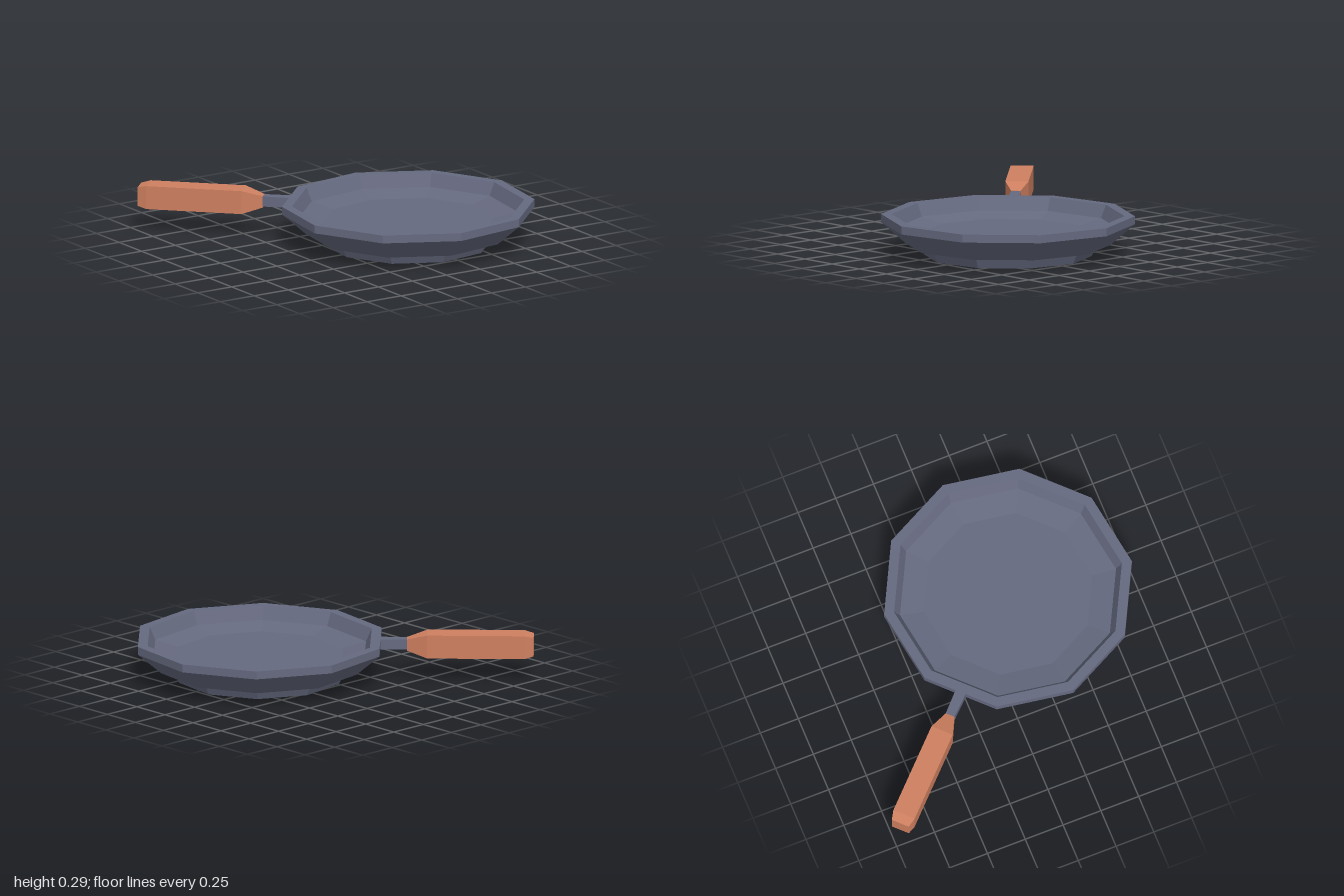
import * as THREE from 'three';

const iron = new THREE.MeshStandardMaterial({ color: 0x666a80 });
iron.name = 'castIron';
const wood = new THREE.MeshStandardMaterial({ color: 0xcf8060 });
wood.name = 'wood';

// Give every face its own normal for a faceted look
function faceted(geometry) {
  const g = geometry.toNonIndexed();
  g.computeVertexNormals();
  return g;
}

function addMesh(parent, name, geometry, material) {
  const mesh = new THREE.Mesh(faceted(geometry), material);
  mesh.name = name;
  parent.add(mesh);
}

// Rectangular bar along z; each section is [z, halfWidth, halfHeight]
function taperedBar(sections, y) {
  const n = sections.length - 1;
  const g = new THREE.BoxGeometry(2, 2, n, 1, 1, n);
  const p = g.attributes.position;
  for (let i = 0; i < p.count; i++) {
    const [z, w, h] = sections[Math.round(p.getZ(i) + n / 2)];
    p.setXYZ(i, p.getX(i) * w, y + p.getY(i) * h, z);
  }
  return g;
}

export function createModel() {
  const model = new THREE.Group();
  model.name = 'fryingPan';

  // The pan is built around its own axis, with the handle along +z
  const pan = new THREE.Group();
  pan.name = 'pan';
  pan.position.set(0.23, 0, 0.23);
  pan.rotation.y = -Math.PI * 3 / 4;
  model.add(pan);

  // Ten-sided dish: foot, sloping side, rim, inner wall, shallow floor
  const profile = [
    [0, 0], [0.515, 0], [0.55, 0.07], [0.63, 0.07], [0.78, 0.2], [0.78, 0.25],
    [0.717, 0.25], [0.68, 0.17], [0.53, 0.14], [0, 0.14],
  ].map(([r, y]) => new THREE.Vector2(r, y));
  addMesh(pan, 'dish', new THREE.LatheGeometry(profile, 10, Math.PI / 10), iron);

  // Neck joining the rim to the grip, flush with the rim top
  addMesh(pan, 'neck', taperedBar([[0.715, 0.034, 0.032], [0.95, 0.028, 0.032]], 0.218), iron);

  // Grip, tapered to the neck and chamfered at the end
  addMesh(pan, 'handle', taperedBar([
    [0.905, 0.029, 0.036], [1.03, 0.071, 0.073], [1.626, 0.071, 0.073], [1.683, 0.057, 0.059],
  ], 0.215), wood);

  return model;
}
